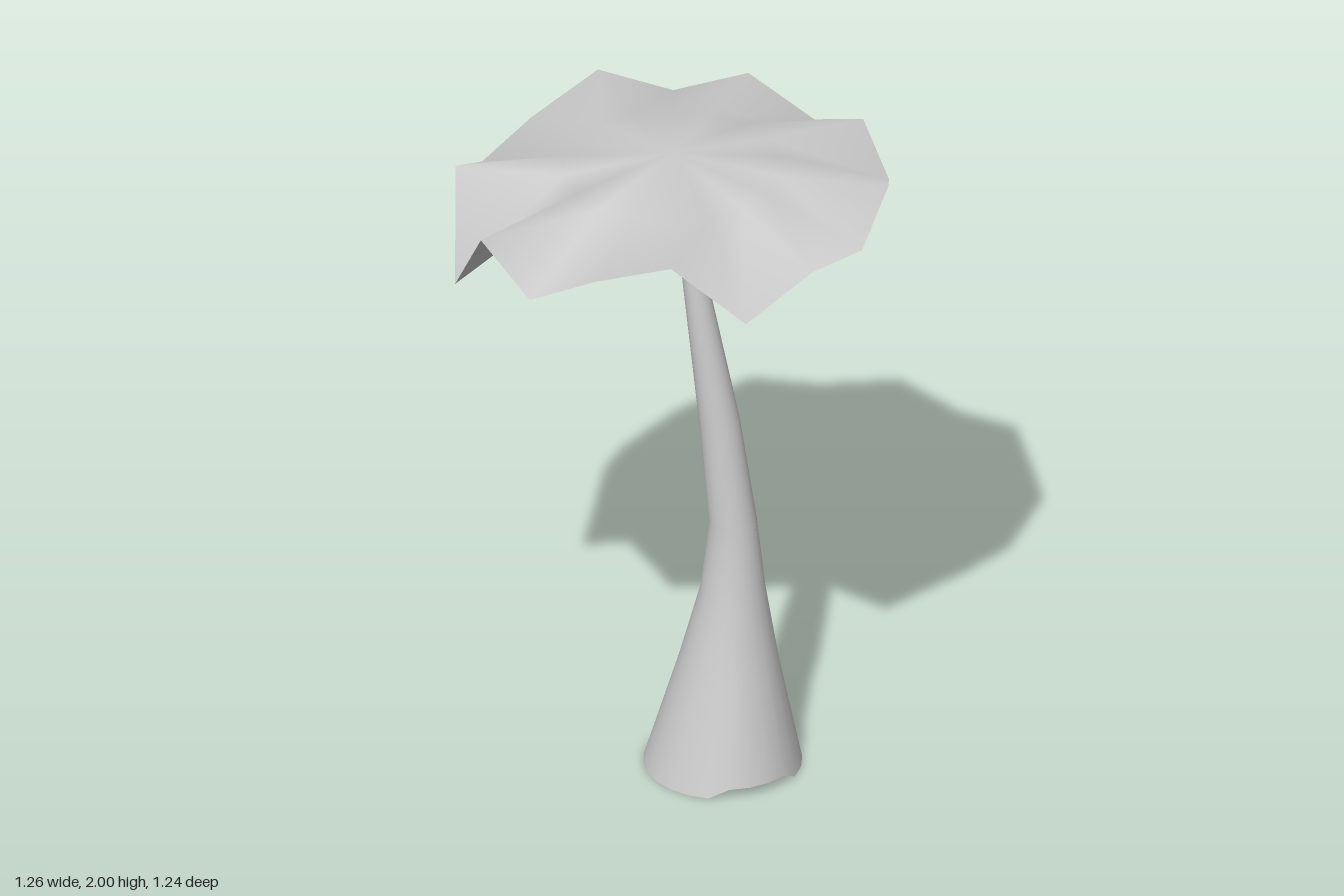
import * as THREE from 'three';
import { mergeVertices } from 'three/addons/utils/BufferGeometryUtils.js';

// Trunk sections from the ground up: [height, centre x, radius]
const TRUNK = [
  [0, 0.148, 0.229], [0.34, 0.165, 0.144], [0.58, 0.178, 0.093],
  [0.8, 0.178, 0.069], [1.13, 0.138, 0.059], [1.95, 0.01, 0.018],
];

// Heights of the ragged canopy rim, every 20 degrees from +x towards +z
const RIM = [
  1.955, 1.86, 1.885, 1.775, 1.98, 1.915, 1.79, 1.89, 1.625,
  1.89, 1.785, 1.835, 1.93, 1.84, 1.92, 1.83, 1.93, 1.85,
];

// Leaning, tapering trunk with a slightly chipped foot
function makeTrunk(material) {
  const sides = 24, rows = TRUNK.length - 1;
  const geo = new THREE.CylinderGeometry(1, 1, 1, sides, rows);
  const p = geo.attributes.position;
  for (let i = 0; i < p.count; i++) {
    const [h, cx, r] = TRUNK[Math.round((p.getY(i) + 0.5) * rows)];
    const x = p.getX(i), z = p.getZ(i);
    const deg = THREE.MathUtils.radToDeg(Math.atan2(z, x));
    const chipped = h === 0 && Math.hypot(x, z) > 0.5 && deg > 25 && deg < 80;
    p.setXYZ(i, cx + x * r, chipped ? 0.03 : h, z * r);
  }
  geo.computeVertexNormals();
  // Share the normals across the side seam
  const n = geo.attributes.normal;
  for (let row = 0; row <= rows; row++) {
    const a = row * (sides + 1), b = a + sides;
    const v = new THREE.Vector3().fromBufferAttribute(n, a)
      .add(new THREE.Vector3().fromBufferAttribute(n, b)).normalize();
    n.setXYZ(a, v.x, v.y, v.z);
    n.setXYZ(b, v.x, v.y, v.z);
  }
  const mesh = new THREE.Mesh(geo, material);
  mesh.name = 'trunk';
  return mesh;
}

// Thin canopy: apex, level middle ring, ragged drooping rim
function makeCanopy(material) {
  const sides = RIM.length, radius = 0.632;
  let geo = new THREE.CylinderGeometry(0, radius, 1, sides, 2, true, Math.PI / 2);
  geo.deleteAttribute('uv');
  geo.deleteAttribute('normal');
  const p = geo.attributes.position;
  for (let i = 0; i < p.count; i++) {
    const x = p.getX(i), z = p.getZ(i), r = Math.hypot(x, z);
    const k = Math.round(Math.atan2(z, x) / (2 * Math.PI) * sides + sides) % sides;
    p.setY(i, r < 0.01 ? 2 : r < 0.5 ? 1.955 : RIM[k]);
  }
  geo = mergeVertices(geo, 1e-4);
  geo.computeVertexNormals();
  const mesh = new THREE.Mesh(geo, material);
  mesh.name = 'canopy';
  return mesh;
}

export function createModel() {
  const group = new THREE.Group();
  group.name = 'tree';
  const bark = new THREE.MeshStandardMaterial({ color: 0xcccccc });
  const leaf = new THREE.MeshStandardMaterial({ color: 0xcccccc, side: THREE.DoubleSide });
  group.add(makeTrunk(bark), makeCanopy(leaf));
  return group;
}
